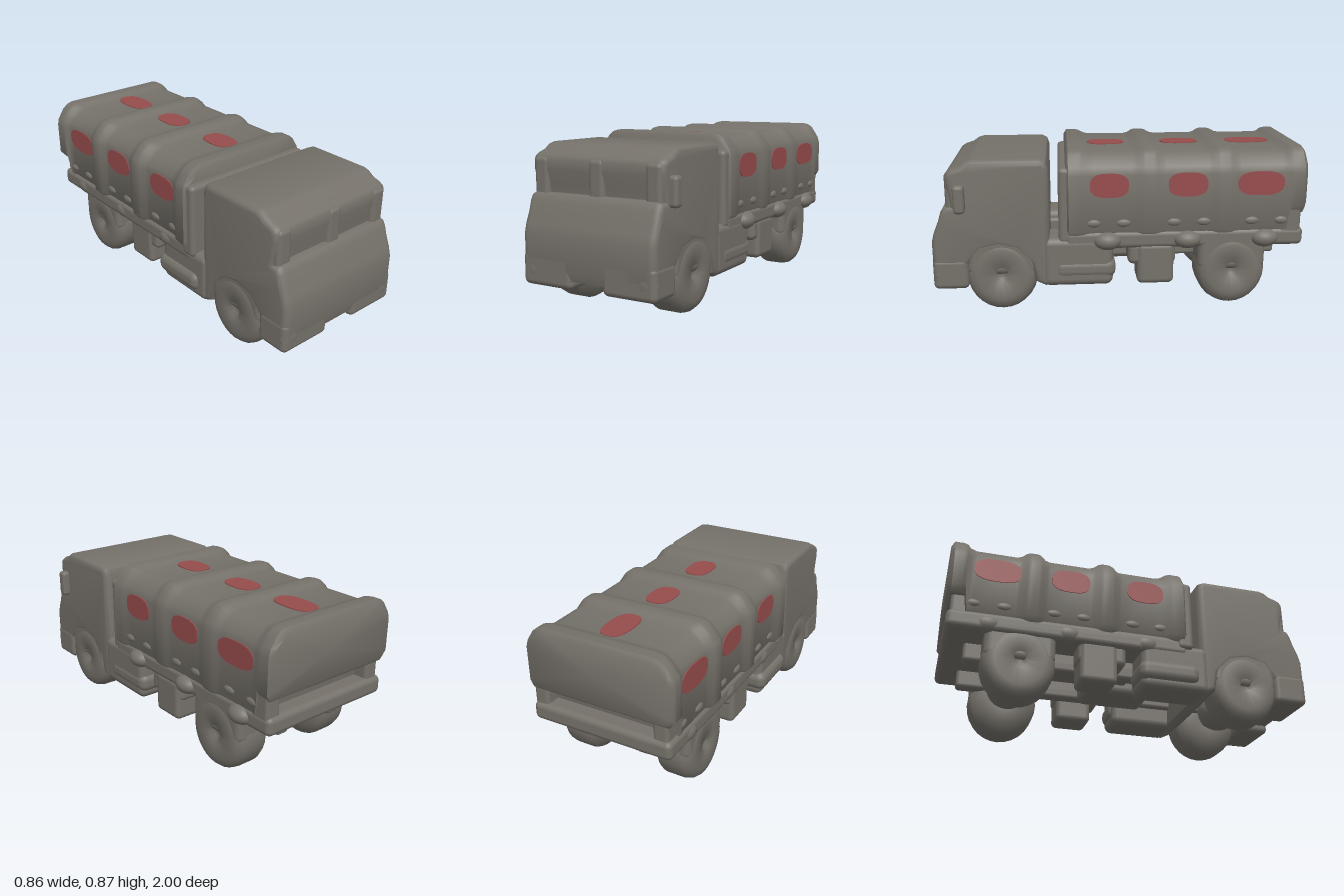
import * as THREE from 'three';
import { toCreasedNormals } from 'three/addons/utils/BufferGeometryUtils.js';
import { RoundedBoxGeometry } from 'three/addons/geometries/RoundedBoxGeometry.js';

const grey = new THREE.MeshStandardMaterial({ color: 0x75716a });
grey.name = 'bodyGrey';
const red = new THREE.MeshStandardMaterial({ color: 0x964c4c });
red.name = 'patchRed';

export function createModel() {
  const truck = new THREE.Group();
  truck.name = 'cargoTruck';

  const add = (name, geometry, x = 0, y = 0, z = 0, material = grey) => {
    const mesh = new THREE.Mesh(geometry, material);
    mesh.name = name;
    mesh.position.set(x, y, z);
    truck.add(mesh);
    return mesh;
  };
  // Rounded box given by its limits on each axis
  const box = (name, x0, x1, y0, y1, z0, z1, r = 0.02) =>
    add(name, new RoundedBoxGeometry(x1 - x0, y1 - y0, z1 - z0, 3, r),
      (x0 + x1) / 2, (y0 + y1) / 2, (z0 + z1) / 2);
  // Box given for one side, s = 1 left or -1 right
  const side = (s, name, a, b, ...rest) =>
    box(name, Math.min(s * a, s * b), Math.max(s * a, s * b), ...rest);
  const ball = (name, x, y, z, sx, sy, sz) =>
    add(name, new THREE.SphereGeometry(1, 20, 14), x, y, z).scale.set(sx, sy, sz);

  // Cab: side profile (z, y) with open wheel arches, extruded across the width
  const profile = [
    [0.985, 0.175], [0.998, 0.22], [0.998, 0.39], [0.985, 0.44], [0.96, 0.5], [0.945, 0.55],
    [0.928, 0.58], [0.918, 0.586], [0.892, 0.588], [0.896, 0.63], [0.91, 0.7], [0.91, 0.75],
    [0.9, 0.77], [0.875, 0.785], [0.83, 0.8], [0.8, 0.822],
    [0.77, 0.83], [0.42, 0.83], [0.39, 0.815], [0.378, 0.78], [0.378, 0.15], [0.4, 0.13],
    [0.46, 0.16], [0.48, 0.26], [0.56, 0.34], [0.65, 0.36], [0.74, 0.34], [0.81, 0.26], [0.83, 0.175],
  ].map(p => new THREE.Vector2(...p));
  const bevel = 0.04;
  const cab = new THREE.ExtrudeGeometry(new THREE.Shape(profile), {
    depth: 0.78 - 2 * bevel, bevelThickness: bevel, bevelSize: 0.03, bevelOffset: -0.03, bevelSegments: 5,
  });
  cab.translate(0, 0, -0.39 + bevel).rotateY(-Math.PI / 2);
  add('cab', toCreasedNormals(cab, 0.7));

  // Low windscreen frame beside the two sunken panes
  for (const [x0, x1] of [[-0.375, -0.285], [-0.04, 0.05], [0.285, 0.375]])
    box('windscreenPillar', x0, x1, 0.55, 0.765, 0.84, 0.916, 0.025);
  box('sideMirror', 0.36, 0.43, 0.555, 0.705, 0.81, 0.87, 0.02);

  // Bumper halves with a notch between, and lamp bulges
  for (const s of [-1, 1]) {
    side(s, 'bumper', 0.09, 0.393, 0.13, 0.3, 0.81, 0.998, 0.03);
    ball('headlamp', s * 0.33, 0.21, 0.97, 0.065, 0.07, 0.03);
  }

  // Canvas cover: one ring of points per station, swelling at the hoops,
  // cut away below the tailgate
  const ring = (z, g, inset = 0) => {
    const l = -0.4 - 0.03 * g + inset, r = 0.385 + 0.012 * g - inset;
    const t = 0.845 + 0.021 * g - inset, b = (z < -0.9 ? 0.52 : 0.4) + inset;
    return [
      [l + 0.035, b], [r - 0.02, b], [r, b + 0.035], [r, 0.74], [r - 0.012, 0.78], [r - 0.05, t - 0.028],
      [r - 0.075, t - 0.008], [r - 0.11, t], [l + 0.11, t], [l + 0.075, t - 0.01], [l + 0.045, t - 0.035],
      [l + 0.008, 0.775], [l, 0.74], [l, b + 0.04],
    ].map(([x, y]) => [x, y, z]);
  };
  const rings = [ring(0.29, 1, 0.02), ring(0.275, 1)];
  const hoop = [[0.09, 0], [0.065, 0.2], [0.04, 0.8], [0.02, 1], [-0.02, 1], [-0.04, 0.8], [-0.065, 0.2], [-0.09, 0]];
  rings.push(ring(0.22, 1), ring(0.2, 0.8), ring(0.17, 0.2), ring(0.14, 0));
  for (const z of [-0.155, -0.555]) for (const [dz, g] of hoop) rings.push(ring(z + dz, g));
  rings.push(ring(-0.86, 0), ring(-0.895, 0.3), ring(-0.91, 0.8), ring(-0.93, 1), ring(-0.98, 1), ring(-0.998, 1, 0.02));
  const n = rings[0].length, points = rings.flat(), faces = [];
  for (let i = 0; i < rings.length - 1; i++) {
    for (let j = 0; j < n; j++) {
      const a = i * n + j, b = i * n + (j + 1) % n;
      faces.push(a, a + n, b + n, a, b + n, b);
    }
  }
  const last = (rings.length - 1) * n;
  points.push([0, 0.68, 0.29], [0, 0.68, -0.998]);
  for (let j = 0; j < n; j++) {
    const k = (j + 1) % n;
    faces.push(points.length - 2, j, k, points.length - 1, last + k, last + j);
  }
  const cover = new THREE.BufferGeometry();
  cover.setAttribute('position', new THREE.Float32BufferAttribute(points.flat(), 3));
  cover.setIndex(faces);
  add('canvasCover', toCreasedNormals(cover, 0.8));

  // Red patches on the roof and both sides of each bay
  const patch = (w, h) => {
    const s = new THREE.Shape(), p = [];
    for (let i = 0; i < 40; i++) {
      const a = i / 40 * Math.PI * 2, c = Math.cos(a), d = Math.sin(a);
      p.push(new THREE.Vector2(w * Math.sign(c) * Math.abs(c) ** 0.75, h * Math.sign(d) * Math.abs(d) ** 0.75));
    }
    s.setFromPoints(p);
    return new THREE.ExtrudeGeometry(s, { depth: 0.006, bevelEnabled: false });
  };
  for (const [z, len] of [[0.06, 0.103], [-0.357, 0.105], [-0.748, 0.125]]) {
    add('roofPatch', patch(0.07, len).rotateX(-Math.PI / 2), 0, 0.844, z, red);
    add('leftPatch', patch(len, 0.065).rotateY(Math.PI / 2), 0.384, 0.685, z, red);
    add('rightPatch', patch(len, 0.065).rotateY(-Math.PI / 2), -0.399, 0.685, z, red);
  }

  // Load bed, bulkhead and the posts beside the slot below the tailgate
  box('bulkhead', -0.415, 0.385, 0.37, 0.78, 0.24, 0.33, 0.025);
  box('bedFloor', -0.405, 0.388, 0.335, 0.435, -0.992, 0.3, 0.03);
  for (const s of [-1, 1]) {
    side(s, 'rearPost', 0.3, 0.385, 0.4, 0.56, -0.975, -0.86);
    for (const z of [0.07, -0.36, -0.78]) {
      ball('bedLug', s * 0.37, 0.38, z, s > 0 ? 0.06 : 0.045, 0.05, 0.075);
      for (const dz of [-0.085, 0.075])
        ball('bedLatch', s > 0 ? 0.38 : -0.395, 0.48, z + dz, 0.016, 0.022, 0.04);
    }
  }

  // Chassis rails, side tanks and lockers
  for (const s of [-1, 1]) {
    side(s, 'chassisRail', 0.14, 0.22, 0.24, 0.36, -0.88, 0.85);
    side(s, 'sideTank', 0.17, s > 0 ? 0.39 : 0.4, 0.13, 0.4, 0.04, 0.42, 0.04);
    side(s, 'tankRim', 0.2, s > 0 ? 0.395 : 0.425, 0.17, 0.28, 0.025, 0.36, 0.045);
    side(s, 'locker', 0.2, 0.385, 0.13, 0.36, -0.29, -0.09, 0.03);
    side(s, 'lockerBracket', 0.22, 0.375, 0.24, 0.36, -0.3, -0.04, 0.03);
  }
  box('gearbox', -0.12, 0.12, 0.19, 0.36, -0.2, 0.18, 0.04);
  box('crossMember', -0.2, 0.2, 0.24, 0.3, -0.04, 0.03, 0.02);

  // Wheels: broad rounded tyres with a small hub dent, turned about the axle
  const tyre = [
    [0, 0.08], [0.025, 0.08], [0.045, 0.1], [0.14, 0.103], [0.175, 0.093], [0.195, 0.07], [0.203, 0.04],
    [0.203, -0.06], [0.19, -0.085], [0.13, -0.125], [0.06, -0.13], [0, -0.12],
  ].map(p => new THREE.Vector2(...p)).reverse();
  for (const [z, end] of [[0.635, 'front'], [-0.605, 'rear']]) {
    for (const s of [-1, 1]) {
      const geo = toCreasedNormals(new THREE.LatheGeometry(tyre, 28), 0.8);
      const wheel = add(end + 'Wheel', geo, s * 0.29, 0.203, z);
      wheel.rotation.z = -s * Math.PI / 2;
      wheel.scale.z = 0.94;
      side(s, end + 'WheelHousing', 0.19, 0.388, 0.2, 0.42, z - 0.185, z + 0.185, 0.04);
    }
    add(end + 'Axle', new THREE.CylinderGeometry(0.045, 0.045, 0.5, 16).rotateZ(Math.PI / 2), 0, 0.2, z);
    ball(end + 'Differential', 0, 0.2, z, 0.125, 0.112, 0.12);
  }

  return truck;
}
